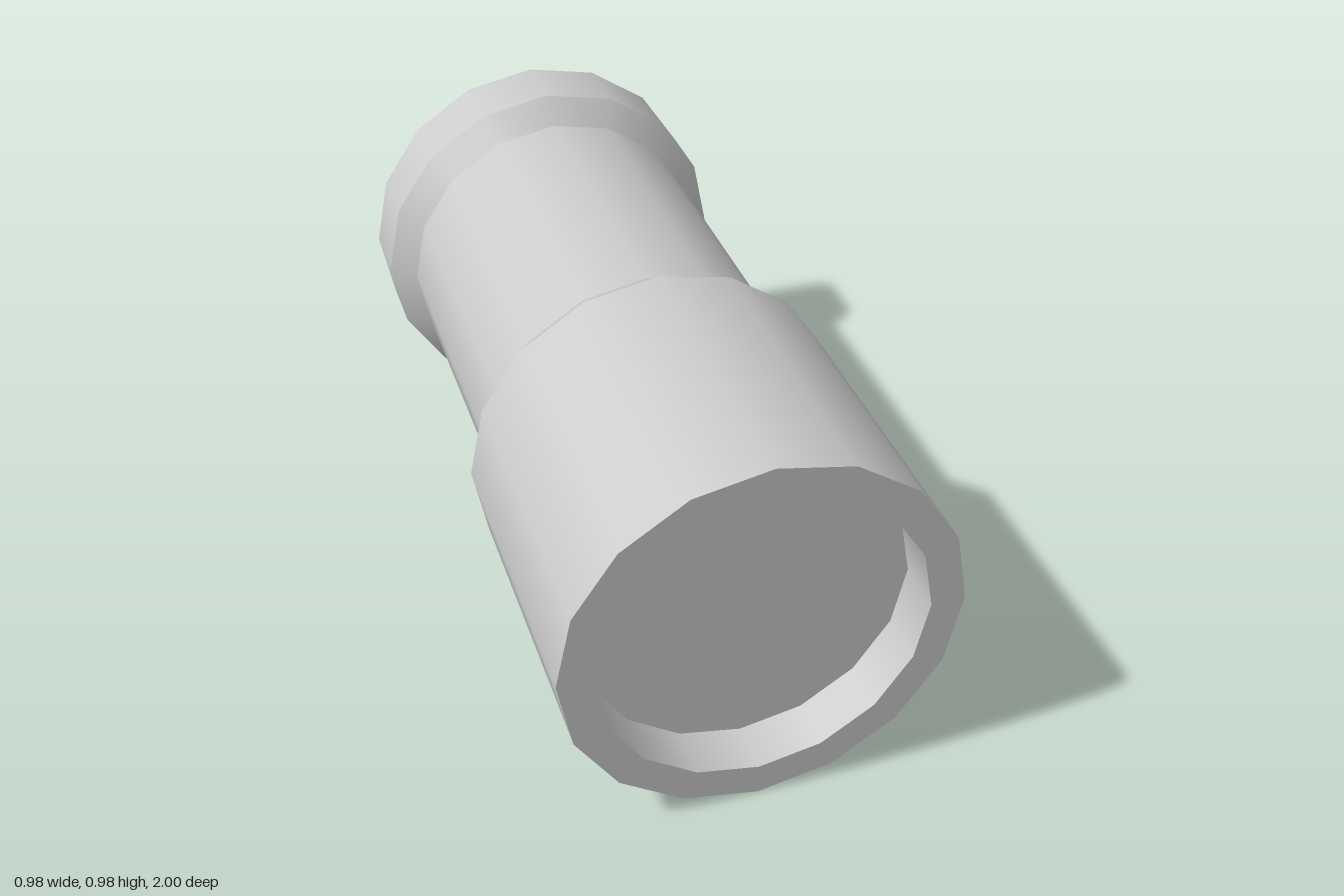
import * as THREE from 'three';
import { mergeGeometries } from 'three/addons/utils/BufferGeometryUtils.js';

const SIDES = 16;
const RADIUS = 0.491;
const NECK = 0.425;
const BORE = 0.406;

// Revolves a [radius, z] profile: smooth around the axis, sharp between bands.
function turned(name, profile, material) {
  const bands = [];
  for (let i = 0; i < profile.length - 1; i++) {
    const pair = [profile[i], profile[i + 1]].map(([r, z]) => new THREE.Vector2(r, z));
    bands.push(new THREE.LatheGeometry(pair, SIDES));
  }
  const geometry = mergeGeometries(bands);
  geometry.rotateX(Math.PI / 2); // lathe axis becomes z
  const mesh = new THREE.Mesh(geometry, material);
  mesh.name = name;
  return mesh;
}

export function createModel() {
  const model = new THREE.Group();
  model.name = 'steppedTube';
  const grey = new THREE.MeshStandardMaterial({ color: 0xcccccc });

  // Closed rear flange with a chamfer down to the neck
  model.add(turned('rearFlange', [[0, -1], [RADIUS, -1], [RADIUS, -0.82], [NECK, -0.757]], grey));

  // Narrow middle section
  model.add(turned('neck', [[NECK, -0.757], [NECK, 0.105]], grey));

  // Wide front sleeve with its rear taper and front rim
  model.add(turned('frontSleeve', [[NECK, 0.105], [RADIUS, 0.205], [RADIUS, 1], [BORE, 1]], grey));

  // Shallow recess in the front end
  model.add(turned('frontRecess', [[BORE, 1], [BORE, 0.87], [0, 0.87]], grey));

  model.position.y = 0.492;
  return model;
}
